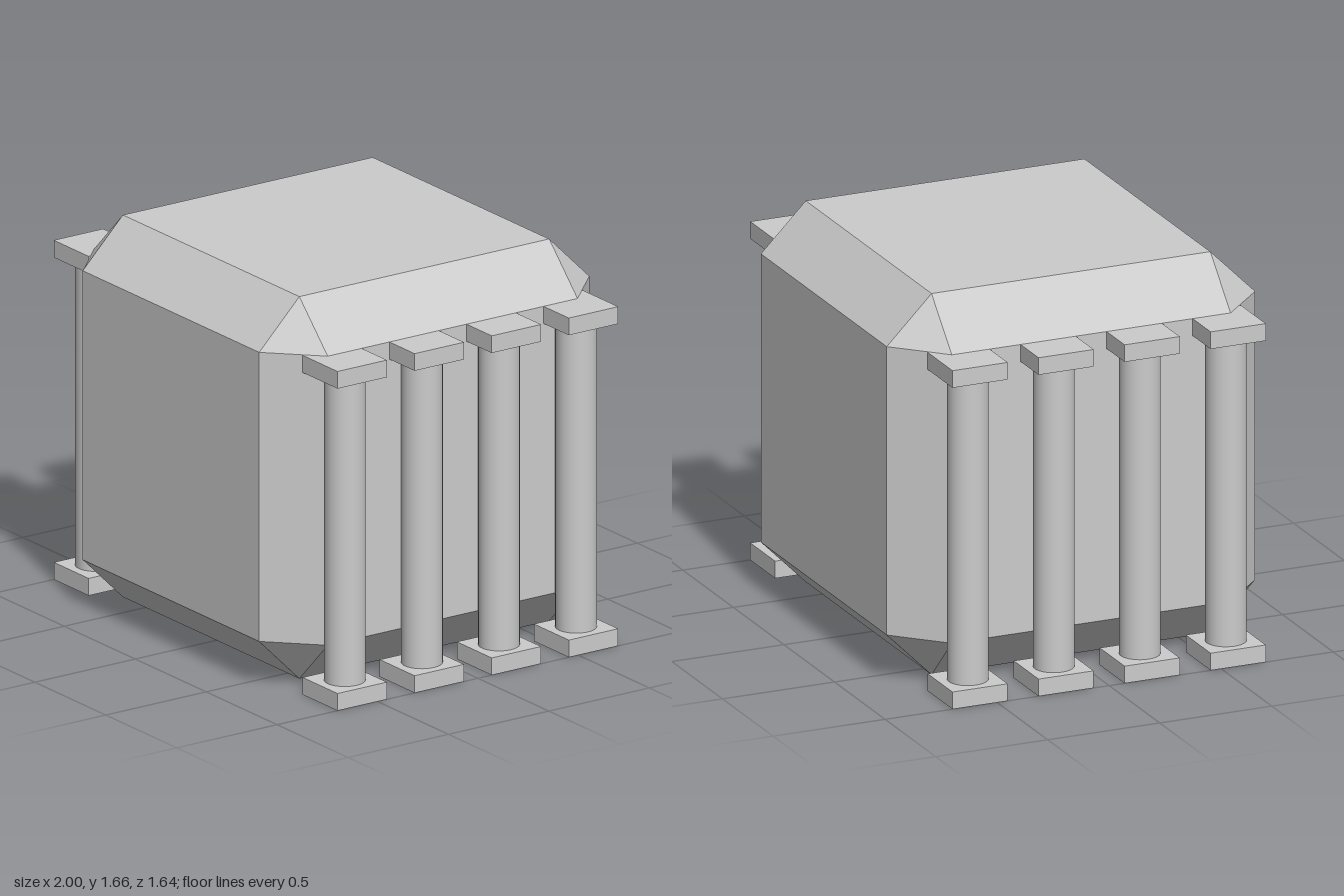
import * as THREE from 'three';
import { ConvexGeometry } from 'three/addons/geometries/ConvexGeometry.js';

const material = new THREE.MeshStandardMaterial({ color: 0xcccccc });

function add(parent, name, geometry, x, y, z) {
  const mesh = new THREE.Mesh(geometry, material);
  mesh.name = name;
  mesh.position.set(x, y, z);
  parent.add(mesh);
  return mesh;
}

// Cube with every edge and corner cut at 45 degrees
function chamferedCube(half, cut) {
  const inner = half - cut;
  const points = [];
  for (const x of [-1, 1]) for (const y of [-1, 1]) for (const z of [-1, 1]) {
    points.push(
      new THREE.Vector3(x * half, y * inner, z * inner),
      new THREE.Vector3(x * inner, y * half, z * inner),
      new THREE.Vector3(x * inner, y * inner, z * half)
    );
  }
  return new ConvexGeometry(points);
}

export function createModel() {
  const model = new THREE.Group();
  model.name = 'columnedBlock';

  // Main body, raised slightly on a small square foot
  add(model, 'body', chamferedCube(0.822, 0.2), 0, 0.838, 0);
  const slab = new THREE.BoxGeometry(0.246, 0.074, 0.246);
  add(model, 'centreFoot', slab, 0, 0.037, 0);

  // Four columns along each side, each with a square base and capital
  const shaft = new THREE.CylinderGeometry(0.085, 0.085, 1.312, 32, 1, true);
  for (const side of [-1, 1]) {
    for (let i = 0; i < 4; i++) {
      const column = new THREE.Group();
      column.name = side > 0 ? 'leftColumn' : 'rightColumn';
      column.position.set(side * 0.877, 0, (i - 1.5) * 0.384);
      add(column, 'columnBase', slab, 0, 0.037, 0);
      add(column, 'columnShaft', shaft, 0, 0.73, 0);
      add(column, 'columnCapital', slab, 0, 1.423, 0);
      model.add(column);
    }
  }
  return model;
}
